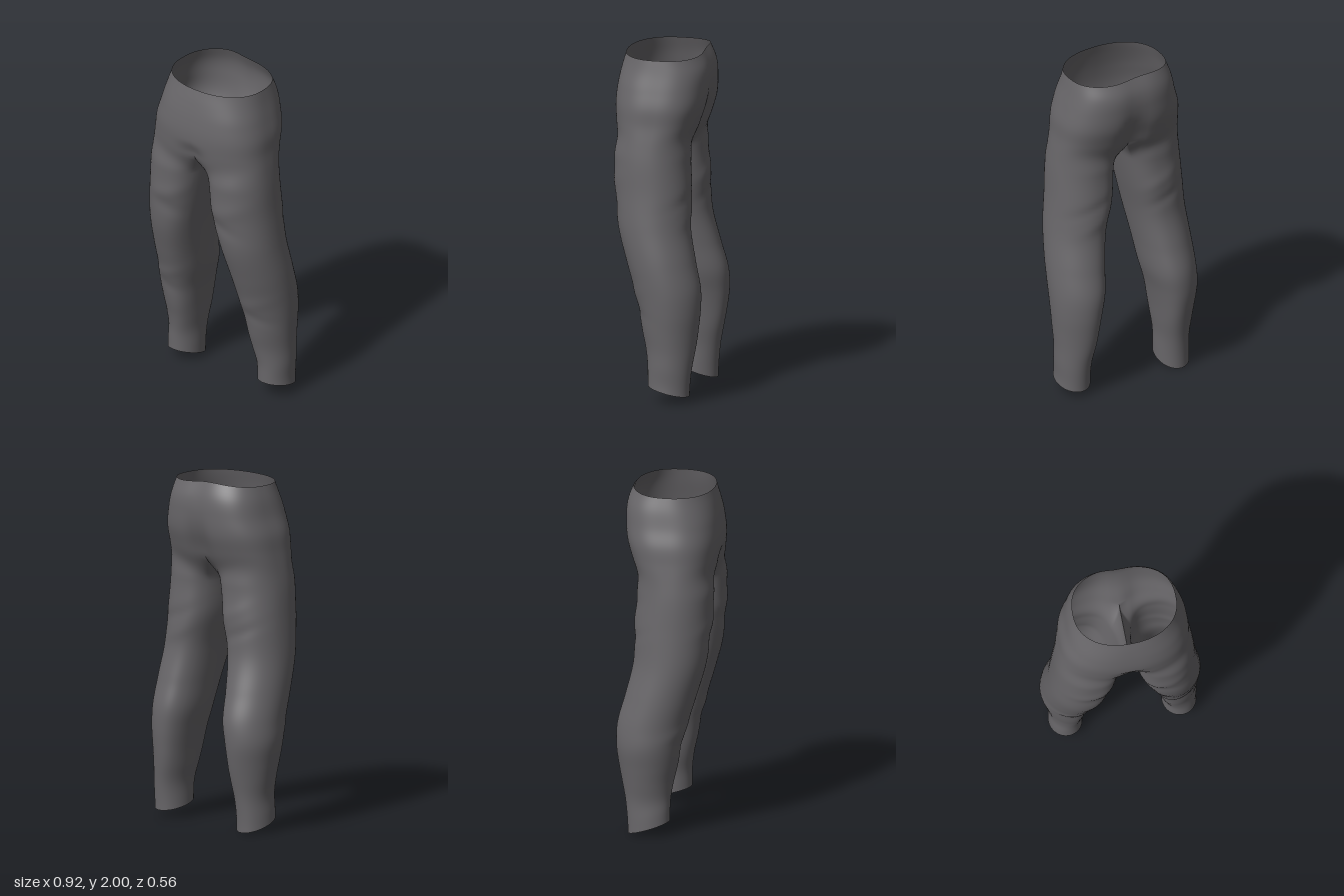
import * as THREE from 'three';
import { mergeVertices } from 'three/addons/utils/BufferGeometryUtils.js';

const CROTCH = 1.56;
const OUTER = 48, RING = 64;        // points round the outside, and in the whole ring
const LEG_ROWS = 70, HIP_ROWS = 26;

// height, right inner, right outer, left inner, left outer, front z, back z
const PROFILE = [
  [0.00, 0.22, 0.415, 0.24, 0.445, 0.03, -0.21],
  [0.10, 0.22, 0.413, 0.24, 0.437, 0.03, -0.213],
  [0.20, 0.22, 0.41, 0.237, 0.44, 0.033, -0.225],
  [0.30, 0.21, 0.425, 0.22, 0.44, 0.047, -0.245],
  [0.40, 0.20, 0.442, 0.205, 0.445, 0.07, -0.262],
  [0.52, 0.182, 0.46, 0.182, 0.452, 0.092, -0.276],
  [0.64, 0.155, 0.457, 0.155, 0.455, 0.122, -0.274],
  [0.80, 0.135, 0.45, 0.135, 0.45, 0.17, -0.235],
  [1.00, 0.105, 0.435, 0.105, 0.43, 0.225, -0.192],
  [1.20, 0.065, 0.42, 0.06, 0.41, 0.248, -0.19],
  [1.40, 0.03, 0.405, 0.045, 0.396, 0.258, -0.18],
  [1.50, 0.015, 0.393, 0.035, 0.385, 0.263, -0.193],
  [1.60, 0, 0.38, 0, 0.373, 0.275, -0.228],
  [1.70, 0, 0.367, 0, 0.367, 0.28, -0.258],
  [1.80, 0, 0.337, 0, 0.346, 0.27, -0.267],
  [1.90, 0, 0.313, 0, 0.322, 0.25, -0.262],
  [1.98, 0, 0.287, 0, 0.305, 0.228, -0.228],
];

// cloth folds: side, height, angle (0 outside, + front), slant, half height, half width, depth
const FOLDS = [
  [-1, 1.24, 1.6, 0.05, 0.05, 0.7, 0.005],
  [-1, 1.14, 1.8, -0.06, 0.045, 0.5, -0.005],
  [1, 1.25, 1.5, -0.06, 0.05, 0.7, 0.005],
  [1, 1.15, 1.7, 0.06, 0.045, 0.6, -0.005],
  [-1, 0.62, 1.3, 0.05, 0.04, 0.8, 0.004],
  [-1, 0.53, 1.5, -0.05, 0.035, 0.6, -0.004],
  [1, 0.62, 1.4, -0.05, 0.04, 0.8, 0.004],
  [1, 0.53, 1.3, 0.05, 0.035, 0.6, -0.004],
  [-1, 1.13, -1.5, 0.07, 0.035, 0.7, -0.005],
  [-1, 1.24, -1.7, 0.08, 0.04, 0.6, 0.004],
  [1, 1.18, -1.4, -0.07, 0.035, 0.7, -0.005],
  [1, 1.08, -1.6, -0.08, 0.04, 0.6, 0.004],
];

const heights = PROFILE.map(r => r[0]);
const interpolant = new THREE.CubicInterpolant(heights, PROFILE.flatMap(r => r.slice(1)), 6);
const smooth = THREE.MathUtils.smoothstep;
const lerp = THREE.MathUtils.lerp;
const bell = v => Math.exp(-v * v);
const spow = (v, e) => Math.sign(v) * Math.abs(v) ** e;

// One point of a ring: a half hip above the crotch, blending to a closed leg below it
function ringPoint(side, y, i) {
  const p = Array.from(interpolant.evaluate(y));
  const [inner, outer] = side < 0 ? [p[0], p[1]] : [p[2], p[3]];
  const isLeg = 1 - smooth(y, 1.4, CROTCH);
  const zf = p[4], zb = p[5] + (side > 0 ? 0.014 : -0.006) * bell((y - 0.55) / 0.3) * isLeg;
  const zc = (zf + zb) / 2, rz = (zf - zb) / 2;
  const A = 2.5;
  let a, hipX, q;
  if (i <= OUTER) {
    const s = i / OUTER;
    const top = smooth(y, 1.8, 1.98);
    const e = s < 0.5 ? lerp(0.8, 0.9, top) : lerp(0.74, 0.78, top);
    a = A * (1 - 2 * s);
    hipX = i === 0 || i === OUTER ? 0 : outer * spow(Math.sin(Math.PI * s), e);
    q = spow(Math.cos(Math.PI * s), e);
  } else {
    const u = (i - OUTER) / (RING - OUTER);
    a = -A - (2 * Math.PI - 2 * A) * u;
    hipX = 0;
    q = 2 * u - 1;
  }

  // seat cleft and front crease
  const mid = bell(hipX / 0.08);
  const cleft = q > 0 ? 0.1 * (1 - smooth(y, 1.56, 1.66)) : 0.04 + 0.12 * (1 - smooth(y, 1.56, 1.84));
  const hipZ = zc + rz * q * (1 - cleft * mid);
  const seamX = 0.01 * mid * bell((y - CROTCH) / 0.15);

  // leg section with folds, its front and back set towards the inside
  let r = 1;
  for (const [fs, fy, fa, slant, h, w, depth] of FOLDS) {
    if (fs === side) r += (depth / 0.17) * bell((y - fy - slant * (a - fa)) / h) * bell((a - fa) / w);
  }
  const e = lerp(0.98, 0.9, smooth(y, 0.6, 1.3));
  const inset = 0.025 * Math.sin(a) ** 2 * smooth(y, 0.1, 0.4);
  const legX = (inner + outer) / 2 - inset + r * (outer - inner) / 2 * spow(Math.cos(a), e);
  const legZ = zc + r * rz * spow(Math.sin(a), e);

  const x = lerp(side * hipX + seamX, side * legX, isLeg), z = lerp(hipZ, legZ, isLeg);
  // slanted hem, and waist raised at the back
  const hem = (side < 0 ? 0.04 : 0.03) * (z - zc) / rz * (1 - smooth(y, 0.03, 0.3));
  const waist = 0.022 * bell((x + 0.08) / 0.16) * smooth(-z, 0, 0.2) * smooth(y, 1.85, 1.98);
  return [x, y + hem + waist, z];
}

function trouserGeometry() {
  const position = [], index = [];
  for (const side of [-1, 1]) {
    const base = position.length / 3;
    const hemY = side < 0 ? 0.04 : 0.067;
    for (let row = 0; row <= LEG_ROWS + HIP_ROWS; row++) {
      const y = row <= LEG_ROWS
        ? lerp(hemY, CROTCH, row / LEG_ROWS)
        : lerp(CROTCH, 1.978, (row - LEG_ROWS) / HIP_ROWS);
      for (let i = 0; i < RING; i++) position.push(...ringPoint(side, y, i));
    }
    for (let row = 0; row < LEG_ROWS + HIP_ROWS; row++) {
      // above the crotch only the outside of each half is cloth
      const count = row < LEG_ROWS ? RING : OUTER;
      for (let i = 0; i < count; i++) {
        const a = base + row * RING + i, b = base + row * RING + (i + 1) % RING;
        const c = b + RING, d = a + RING;
        if (side > 0) index.push(a, b, d, b, c, d);
        else index.push(a, d, b, b, d, c);
      }
    }
  }
  const geometry = new THREE.BufferGeometry();
  geometry.setAttribute('position', new THREE.Float32BufferAttribute(position, 3));
  geometry.setIndex(index);
  // weld the two halves along the centre seam
  const welded = mergeVertices(geometry, 1e-5);
  welded.computeVertexNormals();
  return welded;
}

export function createModel() {
  const group = new THREE.Group();
  group.name = 'trousers';
  const cloth = new THREE.MeshStandardMaterial({ color: 0x686669, side: THREE.DoubleSide });
  const mesh = new THREE.Mesh(trouserGeometry(), cloth);
  mesh.name = 'trouserCloth';
  group.add(mesh);
  return group;
}
